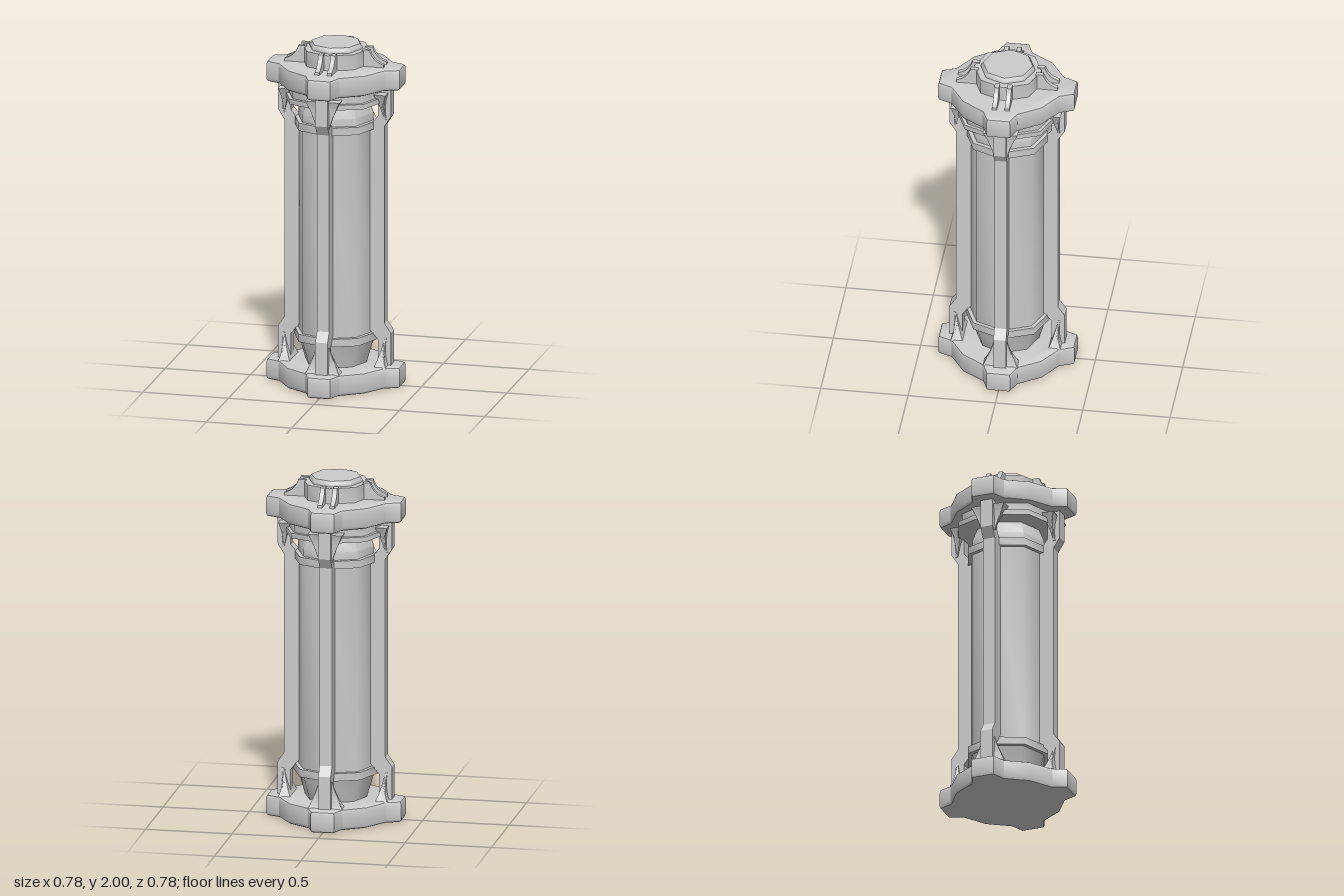
import * as THREE from 'three';
import { toCreasedNormals } from 'three/addons/utils/BufferGeometryUtils.js';

const material = new THREE.MeshStandardMaterial({ color: 0xcccccc });

function mesh(name, geometry) {
  const m = new THREE.Mesh(geometry, material);
  m.name = name;
  return m;
}

// Eight-sided solid with corners on the axes, from [radius, y] rows bottom to top
function octagon(name, rows) {
  const pts = rows.map(([r, y]) => new THREE.Vector2(r, y));
  return mesh(name, toCreasedNormals(new THREE.LatheGeometry(pts, 8), 0.82));
}

// Radial slab: profile in (radius, y), centred on its own thickness
function slab(name, shape, width) {
  const g = new THREE.ExtrudeGeometry(shape, { depth: width, bevelEnabled: false, curveSegments: 8 });
  g.translate(0, 0, -width / 2);
  return mesh(name, g);
}

const polygon = (pts) => new THREE.Shape(pts.map(([x, y]) => new THREE.Vector2(x, y)));

// Cross-shaped end plate with chamfered rims
function plate(name, y) {
  const quarter = [[0.39, -0.067], [0.39, 0.067], [0.31, 0.1], [0.227, 0.227], [0.1, 0.31]];
  const pts = [];
  for (let i = 0; i < 4; i++) {
    for (const [x, z] of quarter) {
      const p = new THREE.Vector2(x, z).rotateAround(new THREE.Vector2(), i * Math.PI / 2);
      pts.push([p.x, p.y]);
    }
  }
  const g = new THREE.ExtrudeGeometry(polygon(pts), {
    depth: 0.085, bevelThickness: 0.02, bevelSize: 0.016, bevelOffset: -0.016, bevelSegments: 2,
  });
  g.rotateX(-Math.PI / 2).translate(0, y + 0.02, 0);
  return mesh(name, toCreasedNormals(g, 0.6));
}

// Curved claw bracing a post; it spreads sideways toward the plate
function claw(name) {
  const s = new THREE.Shape();
  s.moveTo(0.245, 0.12);
  s.lineTo(0.315, 0.12);
  s.quadraticCurveTo(0.29, 0.19, 0.304, 0.28);
  s.lineTo(0.29, 0.275);
  s.quadraticCurveTo(0.278, 0.2, 0.245, 0.12);
  const m = slab(name, s, 2);
  const p = m.geometry.attributes.position;
  for (let i = 0; i < p.count; i++) {
    const t = THREE.MathUtils.clamp((p.getY(i) - 0.12) / 0.16, 0, 1);
    p.setZ(i, p.getZ(i) * (0.04 + 0.06 * (1 - t) ** 1.4));
  }
  m.geometry.computeVertexNormals();
  return m;
}

export function createModel() {
  const model = new THREE.Group();
  model.name = 'column';

  // End plates
  model.add(plate('basePlate', 0), plate('topPlate', 1.755));

  // Shaft, tapering necks and bands
  model.add(
    octagon('shaft', [[0, 0.27], [0.222, 0.27], [0.222, 1.55], [0, 1.55]]),
    octagon('lowerNeck', [[0, 0.12], [0.178, 0.12], [0.222, 0.27], [0, 0.27]]),
    octagon('upperNeck', [[0, 1.55], [0.22, 1.55], [0.22, 1.6], [0.185, 1.69], [0, 1.69]]),
    octagon('lowerBand', [[0.2, 0.265], [0.245, 0.265], [0.245, 0.31], [0.2, 0.31]]),
    octagon('upperBand', [[0.2, 1.51], [0.245, 1.51], [0.245, 1.555], [0.2, 1.555]]),
    octagon('collarFlange', [[0, 1.675], [0.305, 1.675], [0.305, 1.705], [0, 1.705]]),
    octagon('collar', [[0, 1.705], [0.285, 1.705], [0.285, 1.76], [0, 1.76]]),
  );

  // Cap and raised button
  model.add(
    octagon('cap', [[0.193, 1.87], [0.193, 1.97], [0, 1.97]]),
    octagon('capButton', [[0.155, 1.965], [0.155, 1.98], [0.142, 2], [0, 2]]),
  );

  // Post and fin profiles
  const post = polygon([
    [0.255, 0.12], [0.33, 0.12], [0.33, 0.315], [0.292, 0.37], [0.292, 1.53], [0.33, 1.59],
    [0.33, 1.76], [0.255, 1.76], [0.255, 1.59], [0.205, 1.53], [0.205, 0.33], [0.255, 0.27],
  ]);
  const fin = new THREE.Shape();
  fin.moveTo(0.165, 1.87);
  fin.lineTo(0.29, 1.87);
  fin.lineTo(0.29, 1.895);
  fin.quadraticCurveTo(0.225, 1.915, 0.208, 1.977);
  fin.lineTo(0.165, 1.977);

  // Four identical sides
  for (let i = 0; i < 4; i++) {
    const side = new THREE.Group();
    side.name = 'side' + (i + 1);
    side.rotation.y = i * Math.PI / 2;
    side.add(slab('post', post, 0.072));
    side.add(claw('lowerClaw'));
    const upper = claw('upperClaw');
    upper.rotation.x = Math.PI;
    upper.position.y = 1.85;
    side.add(upper);
    for (const z of [-0.036, 0.036]) {
      const f = slab('capFin', fin, 0.027);
      f.position.z = z;
      side.add(f);
    }
    model.add(side);
  }
  return model;
}
